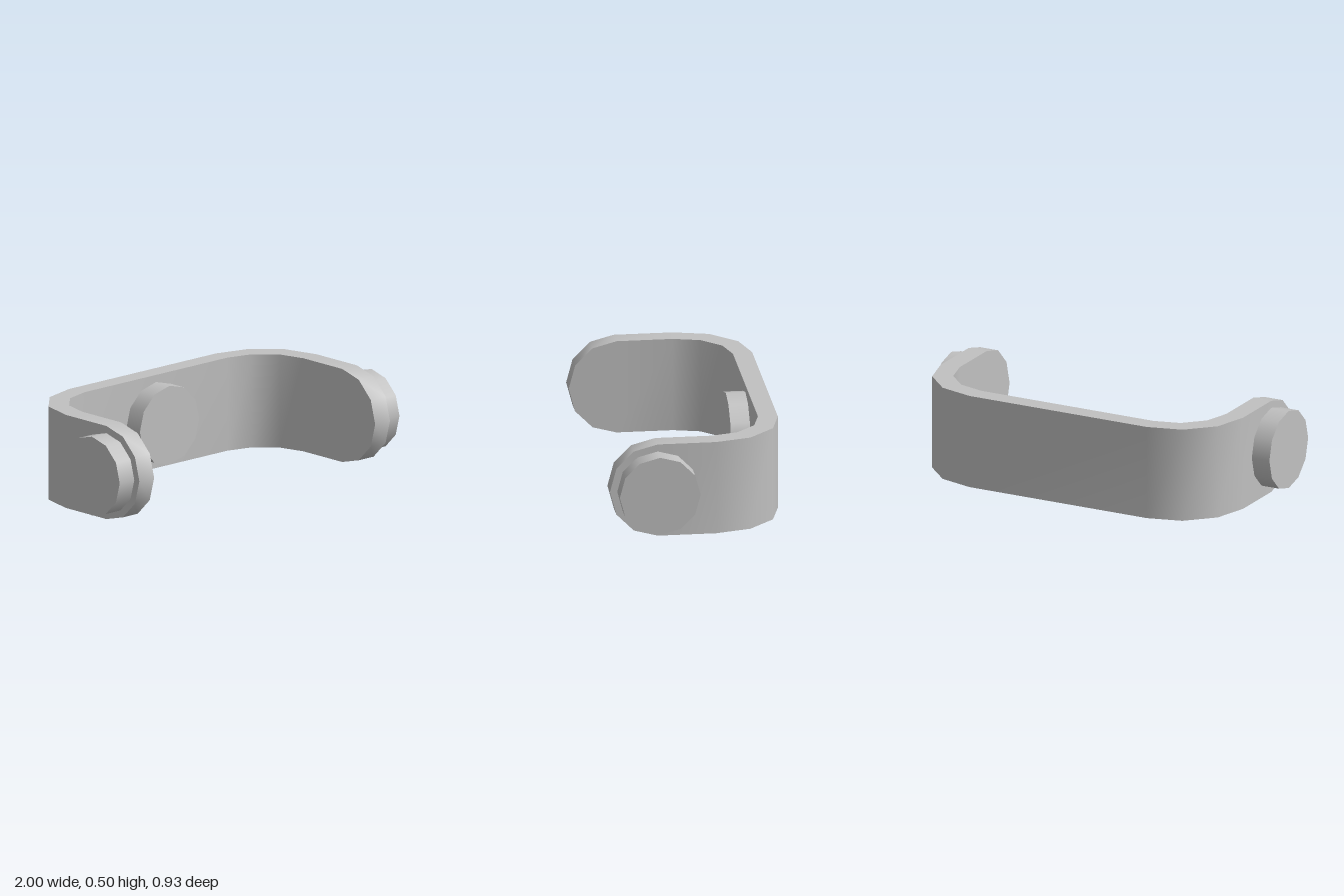
import * as THREE from 'three';
import { toCreasedNormals } from 'three/addons/utils/BufferGeometryUtils.js';

const R = 0.251;       // half the strap height and radius of its rounded ends
const PIVOT_Z = 0.213; // z of the side pivots

// Strap swept as four-point sections: outer bottom, outer top, inner top, inner bottom
function strapGeometry() {
  const half = [];
  // rounded arm end, from the tip back to the pivot line
  for (let i = 0; i <= 3; i++) {
    const t = (Math.PI / 6) * (3 - i);
    const z = PIVOT_Z + R * Math.sin(t);
    half.push({ o: [0.896, z], n: [0.79, z], h: i === 0 ? 0 : R * Math.cos(t) });
  }
  // rounded corner to the back bar
  for (let i = 0; i <= 3; i++) {
    const c = Math.cos(i * Math.PI / 6), s = Math.sin(i * Math.PI / 6);
    half.push({
      o: [0.525 + 0.371 * c, -0.095 - 0.371 * s],
      n: [0.51 + 0.28 * c, -0.083 - 0.28 * s],
      h: R,
    });
  }
  const flip = ([x, z]) => [-x, z];
  const mirrored = half.map((s) => ({ o: flip(s.o), n: flip(s.n), h: s.h })).reverse();
  const rings = [...half, ...mirrored].map(({ o, n, h }) => [
    new THREE.Vector3(o[0], R - h, o[1]),
    new THREE.Vector3(o[0], R + h, o[1]),
    new THREE.Vector3(n[0], R + h, n[1]),
    new THREE.Vector3(n[0], R - h, n[1]),
  ]);

  const points = [];
  const tri = (a, b, c) => {
    // skip collapsed triangles at the tips
    if (new THREE.Triangle(a, b, c).getArea() > 1e-6) points.push(a, b, c);
  };
  for (let i = 0; i < rings.length - 1; i++) {
    for (let k = 0; k < 4; k++) {
      const m = (k + 1) % 4;
      const a = rings[i][k], b = rings[i + 1][k], c = rings[i + 1][m], d = rings[i][m];
      tri(a, b, c);
      tri(a, c, d);
    }
  }
  const geometry = new THREE.BufferGeometry().setFromPoints(points);
  return toCreasedNormals(geometry, THREE.MathUtils.degToRad(40));
}

export function createModel() {
  const group = new THREE.Group();
  group.name = 'bracket';
  const grey = new THREE.MeshStandardMaterial({ color: 0xc0c0c0 });
  grey.name = 'grey';

  const add = (name, geometry) => {
    const mesh = new THREE.Mesh(geometry, grey);
    mesh.name = name;
    group.add(mesh);
    return mesh;
  };

  add('strap', strapGeometry());

  // twelve-sided pivot discs on the outside of both arms
  const disc = new THREE.CylinderGeometry(0.2125, 0.2125, 0.106, 12);
  for (const [name, side] of [['leftPivot', 1], ['rightPivot', -1]]) {
    const pivot = add(name, disc);
    pivot.rotation.z = -side * Math.PI / 2;
    pivot.position.set(side * 0.947, R, PIVOT_Z);
  }

  // disc on the inside of the back bar
  const boss = add('centreBoss', disc);
  boss.rotation.x = Math.PI / 2;
  boss.position.set(0, R, -0.313);

  return group;
}
